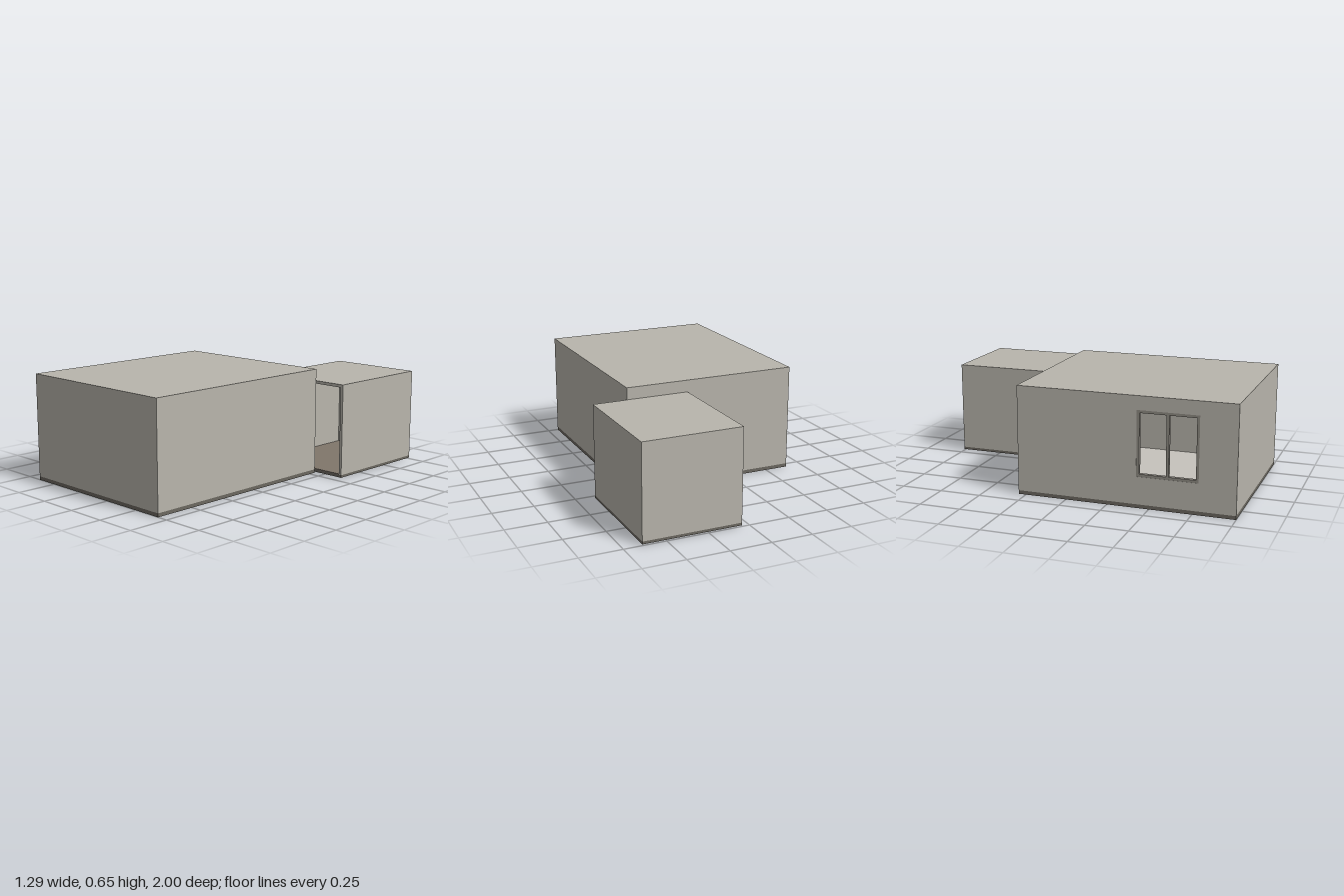
import * as THREE from 'three';

const material = (name, color) => {
  const m = new THREE.MeshStandardMaterial({ color });
  m.name = name;
  return m;
};

export function createModel() {
  const wallMat = material('plaster', 0xb8b5ac);
  const slabMat = material('slab', 0x6c6860);
  const brownMat = material('brownFloor', 0x80766b);
  const lightMat = material('lightFloor', 0xc6c3bc);
  const frameMat = material('windowFrame', 0x8f8b83);

  // Box given by its lower and upper corners
  const box = (parent, name, mat, [x0, y0, z0], [x1, y1, z1]) => {
    const mesh = new THREE.Mesh(new THREE.BoxGeometry(x1 - x0, y1 - y0, z1 - z0), mat);
    mesh.position.set((x0 + x1) / 2, (y0 + y1) / 2, (z0 + z1) / 2);
    mesh.name = name;
    parent.add(mesh);
  };

  const model = new THREE.Group();
  model.name = 'building';
  const t = 0.018;

  // Large room
  const main = new THREE.Group();
  main.name = 'mainRoom';
  model.add(main);
  const [x0, x1, z0, z1, base, top] = [-0.645, 0.433, -0.295, 1, 0.022, 0.652];
  box(main, 'mainSlab', slabMat, [x0, 0, z0], [x1, base, z1]);
  box(main, 'mainFloor', lightMat, [x0 + t, base, z0 + t], [x1 - t, base + 0.005, z1 - t]);
  box(main, 'mainRoof', wallMat, [x0, top - t, z0], [x1, top, z1]);
  box(main, 'frontWall', wallMat, [x0, base, z1 - t], [x1, top - t, z1]);
  box(main, 'backWall', wallMat, [x0, base, z0], [x1, top - t, z0 + t]);
  box(main, 'leftWall', wallMat, [x1 - t, base, z0 + t], [x1, top - t, z1 - t]);

  // Side wall with window opening, drawn in (z, y) and turned to face -x
  const [wz0, wz1, wy0, wy1] = [0.425, 0.785, 0.185, 0.57];
  const rect = (Type, a, b, c, d) => new Type([[a, c], [b, c], [b, d], [a, d]]
    .map(([x, y]) => new THREE.Vector2(x, y)));
  const shape = rect(THREE.Shape, z0 + t, z1 - t, base, top - t);
  shape.holes.push(rect(THREE.Path, wz0, wz1, wy0, wy1));
  const windowWall = new THREE.Mesh(
    new THREE.ExtrudeGeometry(shape, { depth: t, bevelEnabled: false }), wallMat);
  windowWall.rotation.y = -Math.PI / 2;
  windowWall.position.x = x0 + t;
  windowWall.name = 'windowWall';
  main.add(windowWall);

  // Two-pane window frame
  const frame = new THREE.Group();
  frame.name = 'windowFrame';
  main.add(frame);
  const f = 0.016, mid = (wz0 + wz1) / 2;
  for (const z of [wz0 + f / 2, mid, wz1 - f / 2])
    box(frame, 'frameUpright', frameMat, [x0 + 0.001, wy0, z - f / 2], [x0 + t + 0.006, wy1, z + f / 2]);
  for (const y of [wy0, wy1 - f])
    for (const [a, b] of [[wz0 + f, mid - f / 2], [mid + f / 2, wz1 - f]])
      box(frame, 'frameRail', frameMat, [x0 + 0.001, y, a], [x0 + t + 0.006, y + f, b]);

  // Small room, open towards the front
  const annex = new THREE.Group();
  annex.name = 'annex';
  model.add(annex);
  const [ax0, ax1, az0, az1, ay0, ay1] = [0.047, 0.642, -1, -0.2955, 0.007, 0.58];
  const ab = ay0 + 0.016;
  box(annex, 'annexSlab', slabMat, [ax0, ay0, az0], [ax1, ab, az1]);
  box(annex, 'annexFloor', brownMat, [ax0 + t, ab, az0 + t], [ax1 - t, ab + 0.005, az1]);
  box(annex, 'annexRoof', wallMat, [ax0, ay1 - t, az0], [ax1, ay1, az1]);
  box(annex, 'annexBackWall', wallMat, [ax0, ab, az0], [ax1, ay1 - t, az0 + t]);
  for (const x of [ax0, ax1 - t])
    box(annex, 'annexSideWall', wallMat, [x, ab, az0 + t], [x + t, ay1 - t, az1]);

  return model;
}
